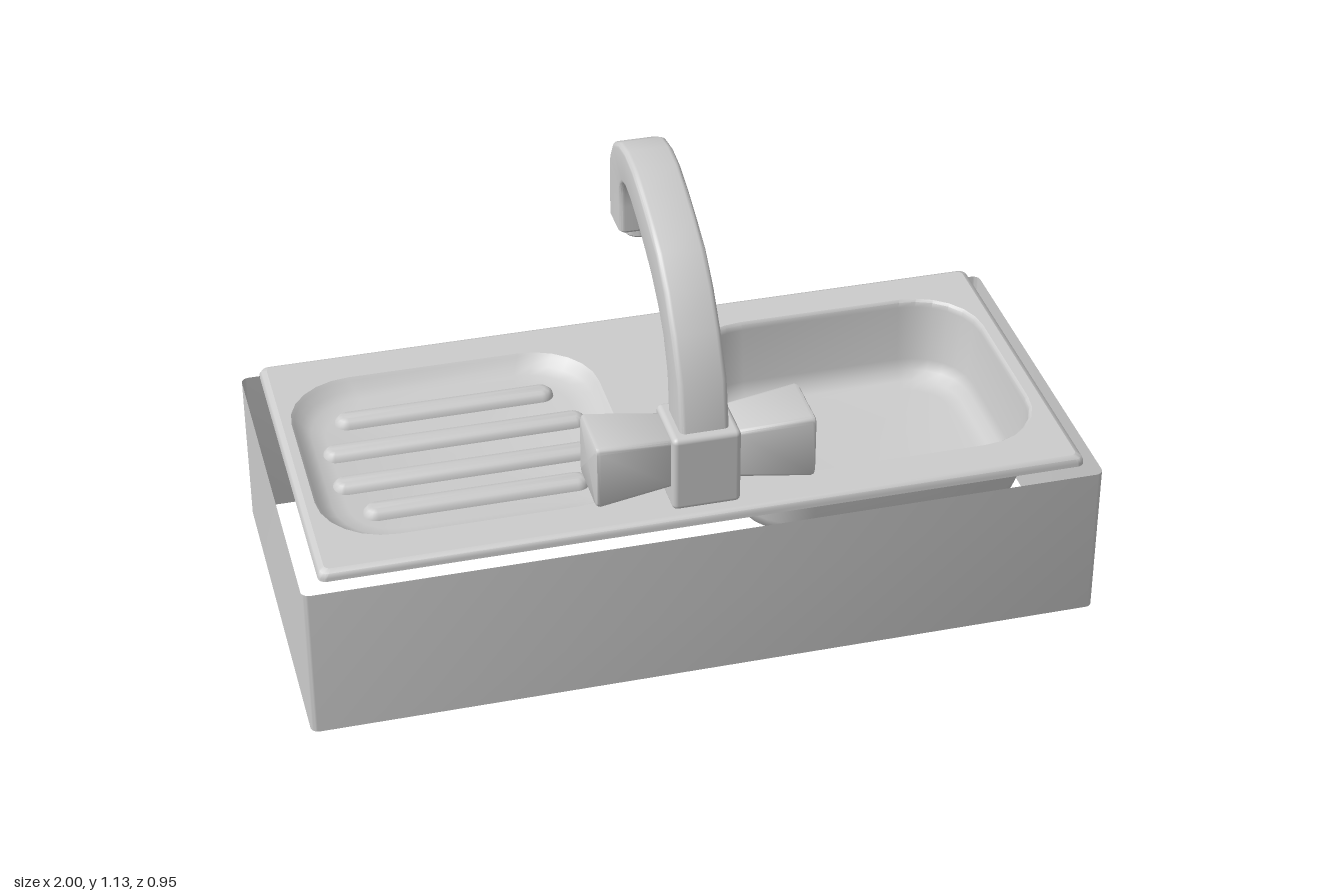
import * as THREE from 'three';
import { toCreasedNormals } from 'three/addons/utils/BufferGeometryUtils.js';
import { RoundedBoxGeometry } from 'three/addons/geometries/RoundedBoxGeometry.js';

const solid = new THREE.MeshStandardMaterial({ color: 0xcccccc });
const sheet = new THREE.MeshStandardMaterial({ color: 0xcccccc, side: THREE.DoubleSide });

// Counter-clockwise rounded rectangle as [a, b] pairs
function roundedRect(w, h, r, seg = 6) {
  const pts = [];
  for (let c = 0; c < 4; c++) {
    const sa = c === 0 || c === 3 ? 1 : -1, sb = c < 2 ? 1 : -1;
    for (let i = 0; i <= seg; i++) {
      const t = (c + i / seg) * Math.PI / 2;
      pts.push([sa * (w / 2 - r) + r * Math.cos(t), sb * (h / 2 - r) + r * Math.sin(t)]);
    }
  }
  return pts;
}

// Horizontal ring: width along x, depth along z
function flatRing(w, d, r, y, cx = 0, cz = 0) {
  return roundedRect(d, w, r).map(([a, b]) => new THREE.Vector3(cx + b, y, cz + a));
}

// Skin through equal-length rings, optionally closing the last one
function loft(rings, cap = false, crease = 0.7) {
  const n = rings[0].length, pts = rings.flat(), index = [];
  for (let i = 0; i < rings.length - 1; i++) {
    for (let j = 0; j < n; j++) {
      const a = i * n + j, b = i * n + (j + 1) % n;
      index.push(a, b, b + n, a, b + n, a + n);
    }
  }
  if (cap) {
    const last = rings[rings.length - 1], base = (rings.length - 1) * n;
    pts.push(last.reduce((s, p) => s.add(p), new THREE.Vector3()).divideScalar(n));
    for (let j = 0; j < n; j++) index.push(base + j, base + (j + 1) % n, pts.length - 1);
  }
  const g = new THREE.BufferGeometry().setFromPoints(pts);
  g.setIndex(index);
  return toCreasedNormals(g, crease);
}

export function createModel() {
  const model = new THREE.Group();
  model.name = 'kitchenSink';
  const add = (name, geometry, material = solid, parent = model) => {
    const mesh = new THREE.Mesh(geometry, material);
    mesh.name = name;
    parent.add(mesh);
    return mesh;
  };

  // Open cabinet walls
  add('cabinetWalls', loft([flatRing(2, 0.955, 0.02, 0), flatRing(2, 0.955, 0.02, 0.41)]), sheet);

  // Worktop sheet with two openings and a turned-down lip
  const top = 0.455;
  const outer = flatRing(1.875, 0.885, 0.015, top);
  const basinRim = flatRing(0.785, 0.695, 0.175, top, 0.515);
  const drainerRim = flatRing(0.79, 0.695, 0.175, top, -0.52);
  const flat = ring => ring.map(p => new THREE.Vector2(p.x, -p.z));
  const shape = new THREE.Shape(flat(outer));
  shape.holes.push(new THREE.Path(flat(basinRim)), new THREE.Path(flat(drainerRim)));
  add('sinkTop', new THREE.ShapeGeometry(shape).rotateX(-Math.PI / 2).translate(0, top, 0), sheet);
  add('sinkLip', loft([
    flatRing(1.91, 0.92, 0.02, 0.43),
    flatRing(1.91, 0.92, 0.02, 0.438),
    flatRing(1.9, 0.91, 0.02, 0.449),
    outer,
  ]), sheet);

  // Basin, its floor falling to a round drain
  add('basin', loft([
    basinRim,
    flatRing(0.772, 0.682, 0.17, 0.449, 0.515),
    flatRing(0.768, 0.678, 0.17, 0.435, 0.515),
    flatRing(0.745, 0.655, 0.16, 0.28, 0.515),
    flatRing(0.725, 0.635, 0.15, 0.25, 0.515),
    flatRing(0.68, 0.59, 0.13, 0.231, 0.515),
    flatRing(0.61, 0.52, 0.11, 0.225, 0.515),
    flatRing(0.19, 0.19, 0.095, 0.215, 0.515, 0.15),
  ]), sheet);
  const drainRing = (d, y) => flatRing(d, d, d / 2, y, 0.515, 0.15);
  add('drain', loft([
    drainRing(0.19, 0.215), drainRing(0.175, 0.224), drainRing(0.15, 0.226),
    drainRing(0.115, 0.22), drainRing(0.1, 0.205),
  ], true), sheet);

  // Shallow draining board with four raised ribs
  add('drainingBoard', loft([
    drainerRim,
    flatRing(0.775, 0.68, 0.17, 0.448, -0.52),
    flatRing(0.745, 0.65, 0.165, 0.43, -0.52),
    flatRing(0.7, 0.605, 0.15, 0.417, -0.52),
    flatRing(0.63, 0.535, 0.12, 0.41, -0.52),
  ], true), sheet);
  for (const [z, w] of [[-0.21, 0.565], [-0.075, 0.67], [0.065, 0.67], [0.19, 0.565]]) {
    add('drainingRib', loft([
      flatRing(w, 0.068, 0.034, 0.409, -0.52, z),
      flatRing(w - 0.006, 0.062, 0.031, 0.42, -0.52, z),
      flatRing(w - 0.022, 0.046, 0.023, 0.428, -0.52, z),
      flatRing(w - 0.045, 0.023, 0.0115, 0.431, -0.52, z),
    ], true), sheet);
  }

  // Tap body
  const tap = new THREE.Group();
  tap.name = 'tap';
  model.add(tap);
  add('tapBody', new RoundedBoxGeometry(0.17, 0.205, 0.172, 3, 0.014).translate(0, 0.5525, 0.334), solid, tap);

  // Flared square handles, mirrored
  const handleRing = (x, s, r) => roundedRect(s, s, r, 4).map(([a, b]) => new THREE.Vector3(x, a, b));
  const handle = loft([
    handleRing(0.075, 0.125, 0.01), handleRing(0.085, 0.135, 0.012),
    handleRing(0.262, 0.17, 0.014), handleRing(0.27, 0.166, 0.014), handleRing(0.274, 0.152, 0.012),
  ], true);
  for (const side of [1, -1]) {
    const mesh = add(side > 0 ? 'leftHandle' : 'rightHandle', handle, solid, tap);
    mesh.position.set(0, 0.572, 0.33);
    if (side < 0) mesh.rotation.y = Math.PI;
  }

  // Spout: outer z, y and inner z, y at each section
  const sections = [
    [0.4, 0.64, 0.275, 0.64], [0.372, 0.78, 0.26, 0.75], [0.312, 0.88, 0.222, 0.83],
    [0.245, 0.962, 0.175, 0.88], [0.17, 1.025, 0.11, 0.93], [0.09, 1.063, 0.05, 0.962],
    [0, 1.1, -0.02, 0.995], [-0.07, 1.122, -0.09, 1.02], [-0.145, 1.13, -0.14, 1.03],
    [-0.21, 1.12, -0.173, 1.022], [-0.273, 1.088, -0.192, 1.003], [-0.304, 1.04, -0.2, 0.975],
    [-0.312, 0.975, -0.201, 0.94], [-0.31, 0.87, -0.2, 0.87], [-0.303, 0.862, -0.207, 0.862],
  ];
  const spoutRings = sections.map(([oz, oy, iz, iy], i) => {
    const width = i === sections.length - 1 ? 0.108 : 0.122;
    return roundedRect(Math.hypot(oz - iz, oy - iy), width, 0.014, 4).map(([a, b]) => {
      const t = a / Math.hypot(oz - iz, oy - iy);
      return new THREE.Vector3(b, (oy + iy) / 2 + t * (oy - iy), (oz + iz) / 2 + t * (oz - iz));
    });
  });
  add('spout', loft(spoutRings, true), solid, tap);

  // Nozzle under the spout end
  const nozzle = [[0, 0.835], [0.034, 0.835], [0.04, 0.841], [0.04, 0.87]].map(p => new THREE.Vector2(...p));
  add('nozzle', toCreasedNormals(new THREE.LatheGeometry(nozzle, 24), 0.7).translate(0, 0, -0.255), solid, tap);

  return model;
}
